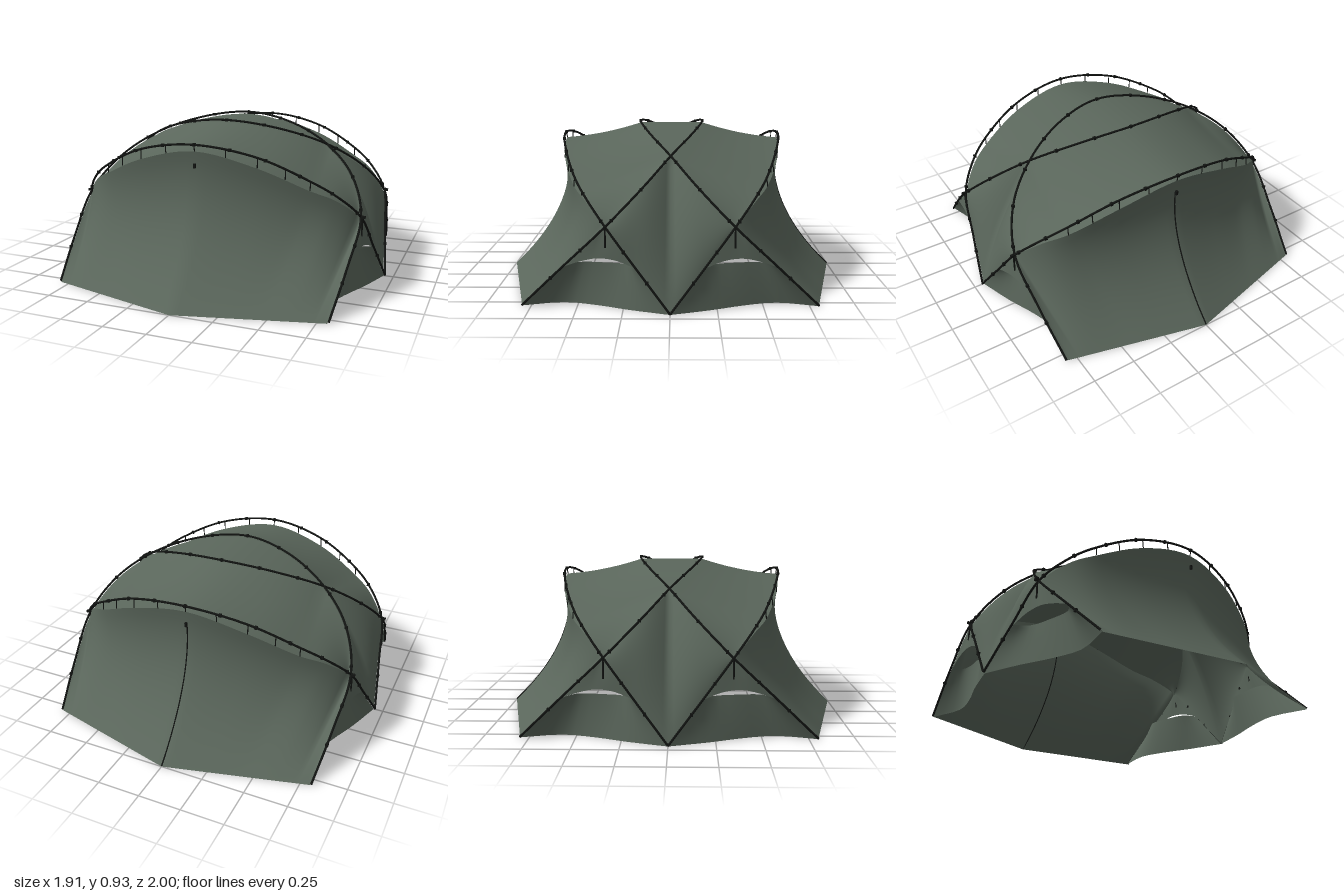
import * as THREE from 'three';

const V = (x, y, z) => new THREE.Vector3(x, y, z);
const fabric = new THREE.MeshStandardMaterial({ color: 0x5a665b, side: THREE.DoubleSide });
fabric.name = 'green fabric';
const black = new THREE.MeshStandardMaterial({ color: 0x121412 });
black.name = 'black trim';

const N = 6; // samples between two neighbouring control points

// Full arch from its +x half; control points are numbered 0 to 12
function arch(half) {
  const pts = half.map(p => V(...p));
  const other = pts.slice(0, -1).reverse().map(p => V(-p.x, p.y, p.z));
  return new THREE.CatmullRomCurve3([...pts, ...other]);
}
const at = (curve, i) => curve.getPoint(i / 12);

// Samples of an arch between two control points
function row(curve, from, to) {
  const n = Math.abs(to - from) * N;
  return Array.from({ length: n + 1 }, (_, i) => at(curve, from + (to - from) * i / n));
}
// Straight-sided row through points
function lineRow(pts) {
  const out = [pts[0].clone()];
  for (let i = 1; i < pts.length; i++)
    for (let j = 1; j <= N; j++) out.push(pts[i - 1].clone().lerp(pts[i], j / N));
  return out;
}
// Smooth row through points, matching two control-point steps
const smoothRow = pts =>
  new THREE.CatmullRomCurve3(pts.map(p => V(...p))).getPoints(2 * N);
const join = (...rows) => rows.flatMap((r, i) => (i ? r.slice(1) : r));
const flipZ = r => r.map(p => V(p.x, p.y, -p.z));

// Frame poles: base at a corner / base at the middle of the side
const main = arch([[.81, .005, .8], [.845, .23, .57], [.86, .45, .34], [.76, .635, .15],
  [.57, .78, 0], [.3, .88, -.13], [0, .92, -.19]]);
const porch = arch([[.95, .005, 0], [.905, .24, .18], [.86, .45, .34], [.75, .58, .45],
  [.62, .67, .525], [.35, .795, .61], [0, .85, .655]]);
// Fabric lip that hangs under the porch pole
const lip = arch([[.95, 0, 0], [.905, .24, .18], [.86, .45, .34], [.75, .565, .45],
  [.62, .63, .53], [.35, .75, .615], [0, .825, .65]]);

// Fabric stretched between two rows, pulled by sag(u) at mid-height
function panel(name, A, B, sx, sz, sag = () => V(0, 0, 0)) {
  const M = 14, pos = [], idx = [], w = A.length;
  for (let j = 0; j <= M; j++) {
    const v = j / M;
    A.forEach((a, i) => {
      const p = a.clone().lerp(B[i], v).addScaledVector(sag(i / (w - 1)), 4 * v * (1 - v));
      pos.push(p.x * .992 * sx, Math.max(0, p.y * .985), p.z * sz);
    });
  }
  for (let j = 0; j < M; j++)
    for (let i = 0; i < w - 1; i++) {
      const a = j * w + i, b = a + w;
      if (sx * sz > 0) idx.push(a, a + 1, b, a + 1, b + 1, b);
      else idx.push(a, b, a + 1, a + 1, b, b + 1);
    }
  const g = new THREE.BufferGeometry();
  g.setAttribute('position', new THREE.Float32BufferAttribute(pos, 3));
  g.setIndex(idx);
  g.computeVertexNormals();
  const m = new THREE.Mesh(g, fabric);
  m.name = name;
  return m;
}

function rod(name, a, b, r) {
  const m = new THREE.Mesh(new THREE.CylinderGeometry(r, r, a.distanceTo(b), 6), black);
  m.position.copy(a).lerp(b, .5);
  m.quaternion.setFromUnitVectors(V(0, 1, 0), b.clone().sub(a).normalize());
  m.name = name;
  return m;
}
function block(name, p, w, h, d) {
  const m = new THREE.Mesh(new THREE.BoxGeometry(w, h, d), black);
  m.position.copy(p);
  m.name = name;
  return m;
}
function tube(name, pts, r, steps) {
  const curve = new THREE.CatmullRomCurve3(pts);
  const m = new THREE.Mesh(new THREE.TubeGeometry(curve, steps, r, 7), black);
  m.name = name;
  return m;
}

export function createModel() {
  const model = new THREE.Group();
  const add = m => model.add(m);

  // Roof lens between the two crossing main poles
  add(panel('roofCentre', flipZ(row(main, 4, 8)), row(main, 4, 8), 1, 1));

  const roofEdge = join(row(main, 2, 4), flipZ(row(main, 4, 8)), row(main, 8, 10));
  const porchEdge = join(row(main, 0, 2), row(lip, 2, 10), row(main, 10, 12));
  const gx = [.81, .79, .74, .62, .45, .25, 0, -.25, -.45, -.62, -.74, -.79, -.81];
  const porchGround = lineRow(gx.map(x => V(x, 0, 1 - .2 * Math.abs(x) / .81)));

  for (const k of [1, -1]) {
    const end = k > 0 ? 'front' : 'back';
    add(panel(end + 'Roof', roofEdge, row(lip, 2, 10), 1, k, () => V(0, -.015, 0)));
    // Wall is drawn in along the middle and full at the rounded corners
    add(panel(end + 'Wall', porchEdge, porchGround, 1, k,
      u => V(0, 0, -.125 * Math.sin(Math.PI * u) ** 2.5)));

    for (const s of [1, -1]) {
      // Side wing overhanging the vent, and the skirt set in below it
      const wingFoot = smoothRow([[.845, .23, .57], [.86, .265, .48], [.875, .288, .38],
        [.89, .278, .28], [.905, .24, .18]]);
      add(panel(end + 'SideWing', join(row(main, 1, 2), row(porch, 2, 1)), wingFoot, s, k));
      const skirtTop = smoothRow([[.845, .23, .57], [.785, .24, .5], [.795, .242, .36],
        [.83, .242, .23], [.905, .24, .18]]);
      const skirtFoot = smoothRow([[.81, 0, .8], [.755, 0, .58], [.8, 0, .4],
        [.875, 0, .22], [.95, 0, 0]]);
      add(panel(end + 'Skirt', skirtTop, skirtFoot, s, k));
      // Strap hanging from the pole crossing
      add(rod('crossingStrap', V(.868 * s, .46, .34 * k), V(.868 * s, .34, .34 * k), .005));
      add(block('crossingClip', V(.872 * s, .45, .34 * k), .026, .014, .014));
    }

    // Poles with their clips
    for (const [name, c] of [['MainPole', main], ['PorchPole', porch]]) {
      const pts = row(c, 0, 12);
      pts.forEach(p => { p.z *= k; });
      const pole = tube(end + name, pts, .0065, 96);
      add(pole);
      for (let i = 1; i < 16; i++)
        add(block('poleClip', pole.geometry.parameters.path.getPointAt(i / 16), .016, .016, .016));
    }

    // Cords holding the lip under the porch pole
    for (let i = 4; i <= 8; i += .5) {
      const a = at(porch, i), b = at(lip, i);
      b.y *= .985;
      a.z *= k;
      b.z *= k;
      add(rod('lipCord', a, b, .003));
    }
    add(block('wallTab', V(0, .733, .653 * k), .012, .025, .014));
  }

  // Side diamonds between all four poles
  const diamondTop = join(row(main, 2, 4), flipZ(row(main, 4, 2)));
  const diamondFoot = join(row(porch, 2, 0), flipZ(row(porch, 0, 2)));
  for (const s of [1, -1])
    add(panel(s > 0 ? 'leftSide' : 'rightSide', diamondTop, diamondFoot, s, 1,
      u => V(.045 * Math.sin(Math.PI * u), 0, 0)));

  // Zip down the middle of the back wall
  const zip = [];
  for (let v = .1; v <= 1.001; v += .1)
    zip.push(V(0, Math.max(.004, .8126 * (1 - v)), -(.65 + .35 * v - .5 * v * (1 - v))));
  add(tube('backZip', zip, .004, 30));

  return model;
}
